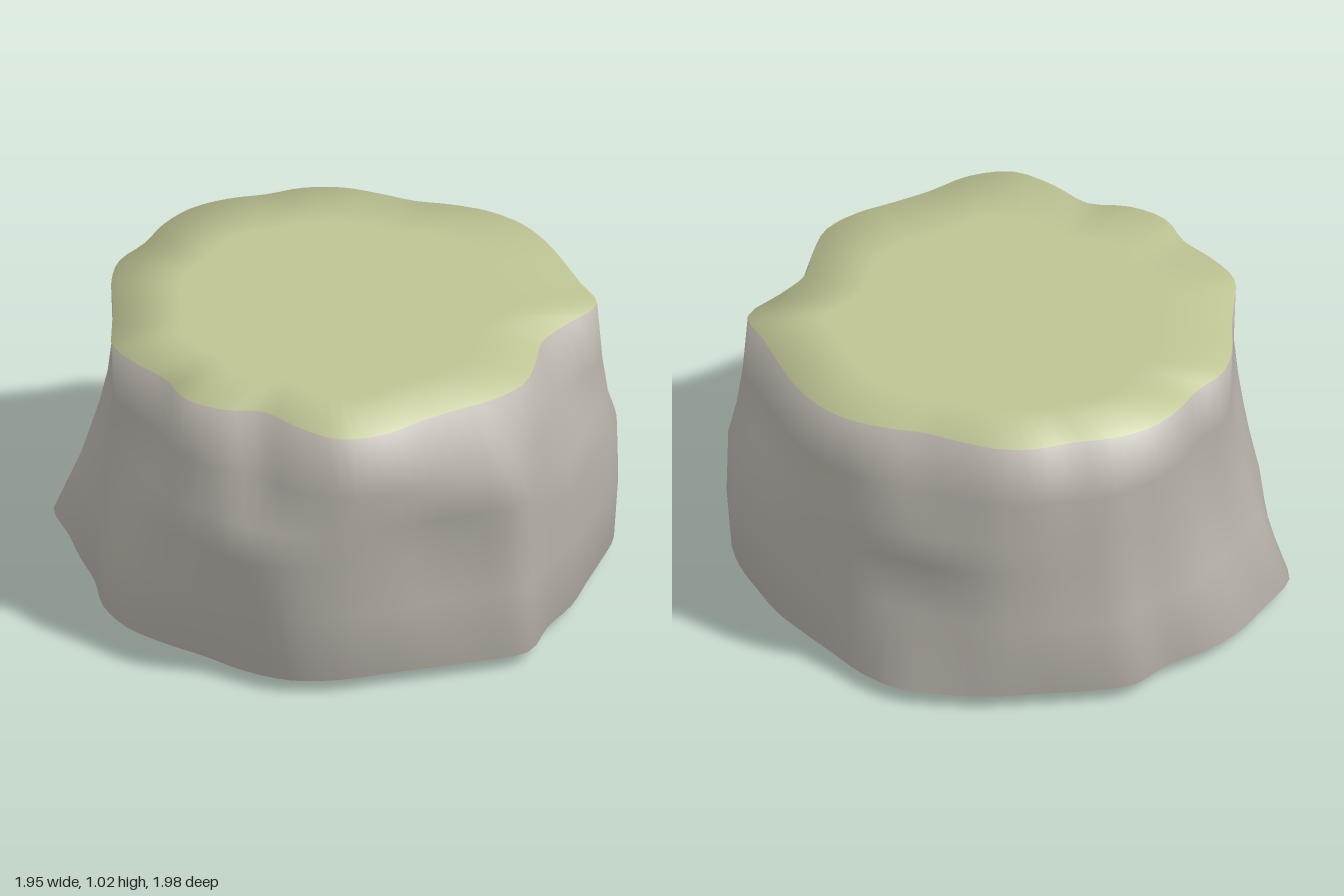
import * as THREE from 'three';

const SEGMENTS = 108;

// Outline radii every 10 degrees, turning from +x towards +z
const TOP = [.85, .87, .92, .82, .77, .81, .86, .86, .845, .86, .92, .94, .87, .80, .85, .865, .82, .845,
  .87, .835, .82, .84, .85, .82, .84, .85, .83, .80, .81, .80, .77, .755, .79, .83, .85, .85];
const BASE = [.93, .96, .98, .95, .94, .96, .975, 1.05, 1, .97, .97, 1.0, 1.02, 1.0, .97, .98, 1, .985,
  .94, .95, .98, 1.05, 1.02, 1.01, .99, .96, 1, .97, .95, .96, .97, .985, .96, .92, .91, .92];

// Smooth closed outline through the radii
function outline(radii) {
  const points = radii.map((r, i) => {
    const a = i * Math.PI / 18;
    return new THREE.Vector3(r * Math.cos(a), 0, r * Math.sin(a));
  });
  const curve = new THREE.CatmullRomCurve3(points, true);
  return Array.from({ length: SEGMENTS }, (_, i) => curve.getPoint(i / SEGMENTS));
}

// Cross-sections: height, scale, and the blend from top to base outline
// in eight directions (every 45 degrees, from +x towards +z)
const even = (value) => Array(8).fill(value);
const RINGS = [
  { y: 1.025, scale: 0.7, blend: even(0) },
  { y: 1.025, scale: 1, blend: even(0) },
  { y: 0.80, scale: 1, blend: [0.2, 0.45, 0.9, 0.35, -0.1, 0, 0.28, 0.2] },
  { y: 0.65, scale: 1, blend: [0.5, 0.9, 0.75, 0.95, 0.1, 0.05, 0.4, 0.5] },
  { y: 0.52, scale: 1, blend: [1.3, 1, 0.6, 1.15, 0.35, 0.15, 0.5, 0.45] },
  { y: 0.30, scale: 1, blend: [1.4, 1.05, 0.65, 0.9, 0.85, 0.4, 0.67, 0.35] },
  { y: 0.05, scale: 1, blend: even(1) },
  { y: 0.015, scale: 0.93, blend: even(1) },
];

// Ease between the eight directional values
function blendAt(values, turn) {
  const i = Math.floor(turn * 8);
  const t = THREE.MathUtils.smoothstep(turn * 8 - i, 0, 1);
  return THREE.MathUtils.lerp(values[i], values[(i + 1) % 8], t);
}

export function createModel() {
  const group = new THREE.Group();
  group.name = 'grassyRock';
  const stone = new THREE.MeshStandardMaterial({ color: 0xb5afa7 });
  stone.name = 'stone';
  const grass = new THREE.MeshStandardMaterial({ color: 0xbfc494 });
  grass.name = 'grass';

  // Loft the cross-sections
  const top = outline(TOP), base = outline(BASE), positions = [];
  const last = RINGS.length - 1;
  RINGS.forEach((ring, k) => {
    for (let i = 0; i < SEGMENTS; i++) {
      const turn = i / SEGMENTS;
      const p = top[i].clone().lerp(base[i], blendAt(ring.blend, turn)).multiplyScalar(ring.scale);
      // The underside dips slightly towards one side
      const dip = k === last ? 0.015 * Math.cos(turn * Math.PI * 2) : 0;
      positions.push(p.x, ring.y - dip, p.z);
    }
  });
  const topCentre = RINGS.length * SEGMENTS, baseCentre = topCentre + 1;
  positions.push(0, 1.025, 0, 0, 0.015, 0);

  const stoneIndex = [], grassIndex = [];
  for (let i = 0; i < SEGMENTS; i++) {
    const j = (i + 1) % SEGMENTS;
    for (let k = 0; k < last; k++) {
      const a = k * SEGMENTS + i, b = k * SEGMENTS + j;
      const c = a + SEGMENTS, d = b + SEGMENTS;
      (k === 0 ? grassIndex : stoneIndex).push(a, b, c, b, d, c);
    }
    grassIndex.push(topCentre, j, i);
    stoneIndex.push(baseCentre, last * SEGMENTS + i, last * SEGMENTS + j);
  }

  // Normals are shared across the rim so the edge reads soft
  const whole = new THREE.BufferGeometry();
  whole.setAttribute('position', new THREE.Float32BufferAttribute(positions, 3));
  whole.setIndex([...stoneIndex, ...grassIndex]);
  whole.computeVertexNormals();

  const addPart = (name, index, material) => {
    const geometry = whole.clone();
    geometry.setIndex(index);
    const mesh = new THREE.Mesh(geometry, material);
    mesh.name = name;
    group.add(mesh);
  };
  addPart('rockBody', stoneIndex, stone);
  addPart('grassTop', grassIndex, grass);
  return group;
}
